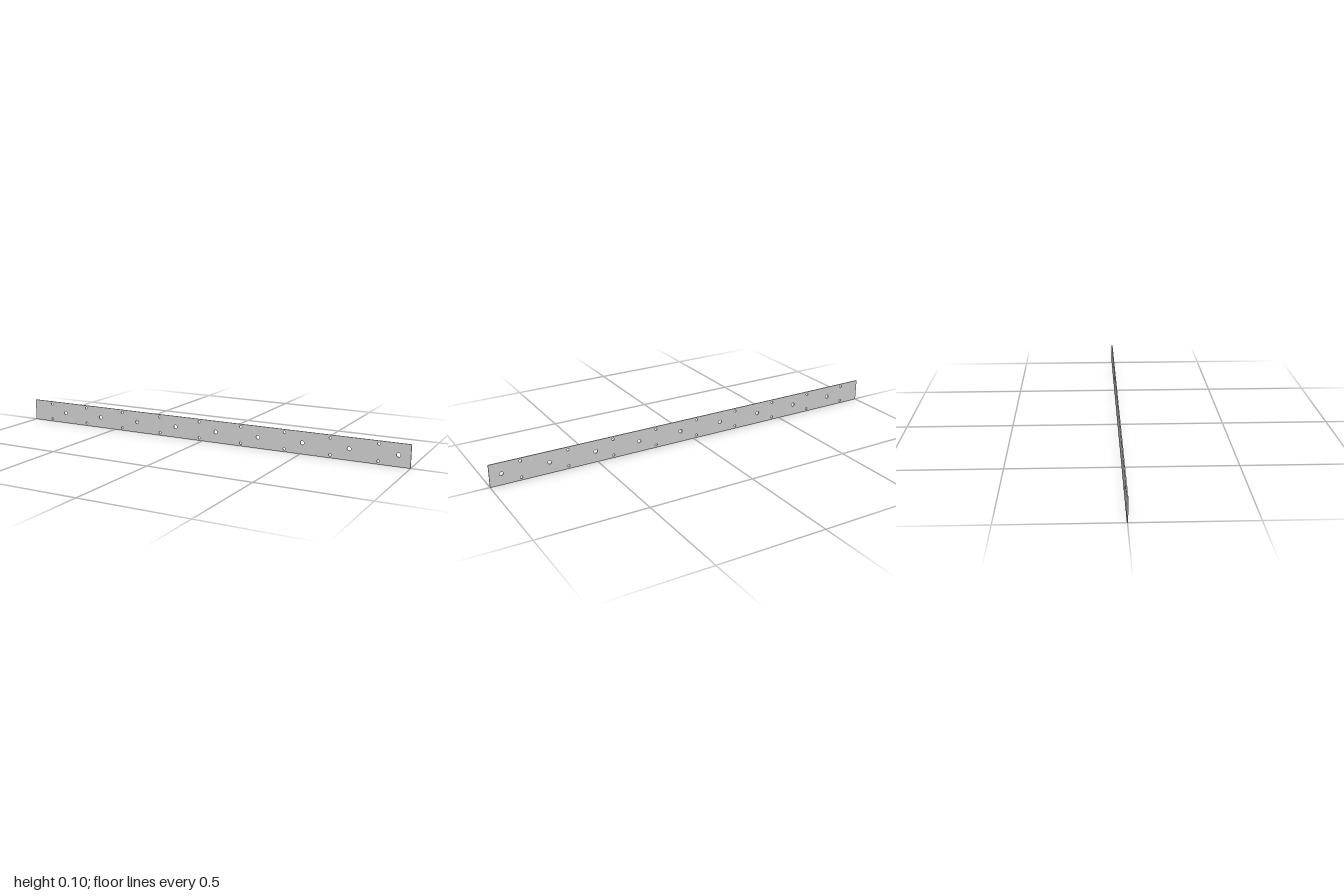
import * as THREE from 'three';

const LENGTH = 2, HEIGHT = 0.105, THICKNESS = 0.005;
const PITCH = 0.219, COUNT = 9;

export function createModel() {
  const group = new THREE.Group();
  group.name = 'perforatedStrip';

  // Flat bar outline
  const shape = new THREE.Shape();
  shape.moveTo(-LENGTH / 2, 0);
  shape.lineTo(LENGTH / 2, 0);
  shape.lineTo(LENGTH / 2, HEIGHT);
  shape.lineTo(-LENGTH / 2, HEIGHT);
  shape.closePath();

  const drill = (x, y, radius) => {
    const hole = new THREE.Path();
    hole.absarc(x, y, radius, 0, Math.PI * 2, true);
    shape.holes.push(hole);
  };

  // Repeating pattern: a pair of small edge holes, then one larger centre hole
  for (let i = 0; i < COUNT; i++) {
    const x = -0.893 + i * PITCH;
    drill(x, 0.0135, 0.006);
    drill(x, HEIGHT - 0.0135, 0.006);
    drill(x + 0.0875, HEIGHT / 2, 0.009);
  }

  const geometry = new THREE.ExtrudeGeometry(shape, {
    depth: THICKNESS, bevelEnabled: false, curveSegments: 12,
  });
  geometry.translate(0, 0, -THICKNESS / 2);

  const plate = new THREE.Mesh(geometry, new THREE.MeshStandardMaterial({ color: 0xcccccc }));
  plate.name = 'plate';
  group.add(plate);
  return group;
}
